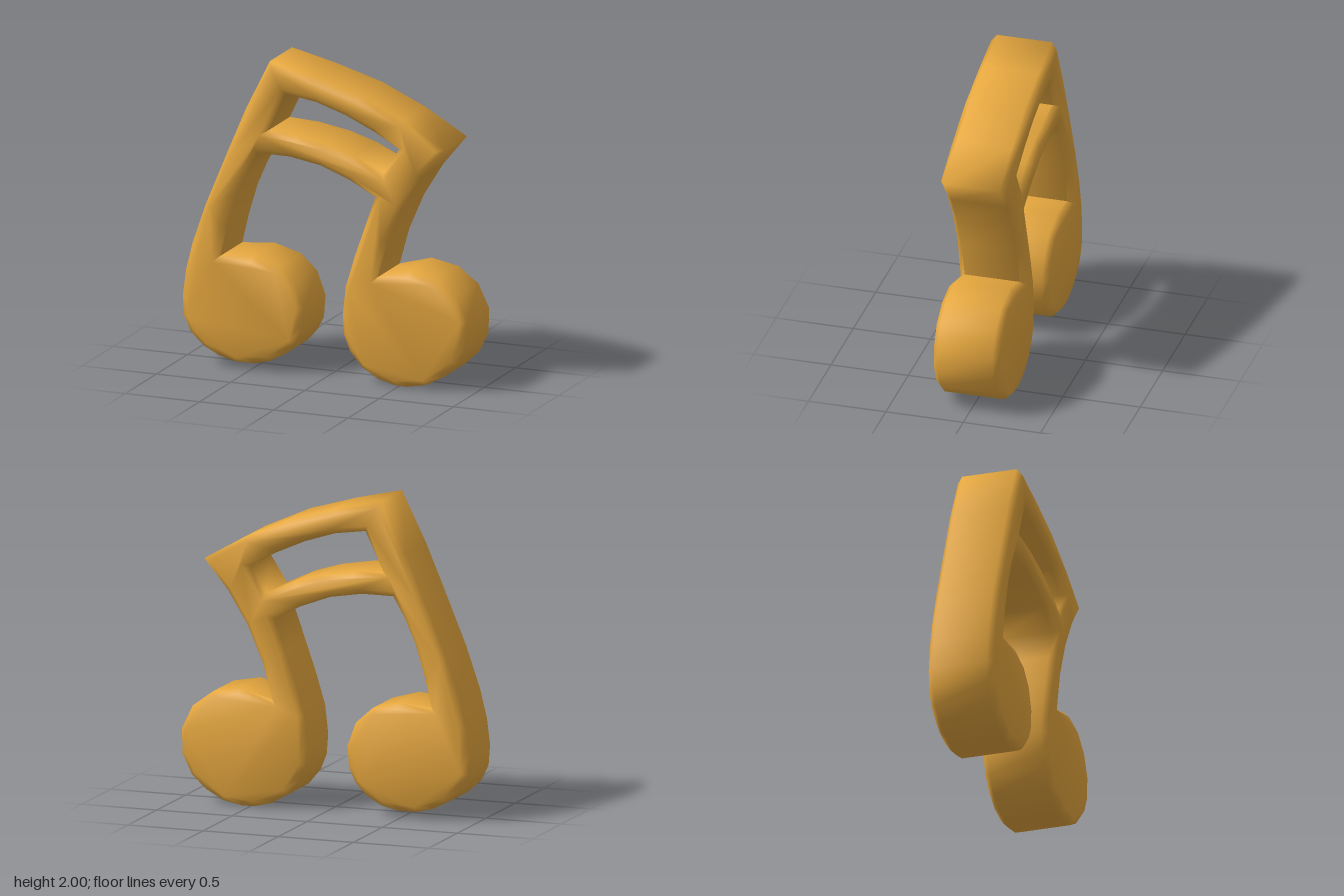
import * as THREE from 'three';
import { toCreasedNormals } from 'three/addons/utils/BufferGeometryUtils.js';

const toPoints = (list) => list.map(([x, y]) => new THREE.Vector2(x, y));

// Each stretch of the outline, clockwise from the top left corner
const beamTop = [[-0.37, 2], [-0.07, 1.93], [0.24, 1.84], [0.53, 1.71], [0.807, 1.55]];
const rightStemOuter = [[0.65, 1.36], [0.52, 1.15], [0.42, 0.92], [0.355, 0.685]];
const rightHead = [
  [0.57, 0.745], [0.75, 0.71], [0.885, 0.61], [0.957, 0.46], [0.952, 0.3], [0.89, 0.175], [0.8, 0.09], [0.68, 0.025],
  [0.55, 0], [0.47, 0.003], [0.36, 0.03], [0.25, 0.095], [0.17, 0.19], [0.13, 0.29], [0.12, 0.42],
];
const rightStemInner = [[0.14, 0.6], [0.2, 0.8], [0.27, 1], [0.34, 1.2]];
const lowerBeamUnderside = [[0.17, 1.29], [-0.03, 1.365], [-0.24, 1.4], [-0.45, 1.4]];
const leftStemInner = [[-0.53, 1.26], [-0.6, 1.1], [-0.66, 0.9], [-0.705, 0.71]];
const leftHead = [
  [-0.485, 0.73], [-0.31, 0.68], [-0.2, 0.58], [-0.145, 0.43], [-0.155, 0.29], [-0.2, 0.2], [-0.27, 0.125],
  [-0.37, 0.07], [-0.48, 0.043], [-0.6, 0.043], [-0.71, 0.07], [-0.81, 0.12], [-0.9, 0.2], [-0.947, 0.3], [-0.957, 0.43],
];
const leftStemOuter = [[-0.935, 0.6], [-0.89, 0.78], [-0.8, 1.04], [-0.65, 1.4], [-0.53, 1.68]];

// Opening between the two beams, counter-clockwise so its walls face inward
const beamGap = [
  [-0.385, 1.55], [-0.19, 1.54], [0.02, 1.505], [0.2, 1.45], [0.395, 1.36],
  [0.5, 1.525], [0.33, 1.62], [0.14, 1.705], [-0.06, 1.77], [-0.265, 1.8],
];

export function createModel() {
  const group = new THREE.Group();
  group.name = 'beamedNotes';

  const shape = new THREE.Shape(toPoints([
    ...beamTop, ...rightStemOuter, ...rightHead, ...rightStemInner,
    ...lowerBeamUnderside, ...leftStemInner, ...leftHead, ...leftStemOuter,
  ]));
  shape.holes.push(new THREE.Path(toPoints(beamGap)));

  // Thick slab with a bevel inside the outline
  const thickness = 0.425;
  const bevel = 0.035;
  const slab = new THREE.ExtrudeGeometry(shape, {
    depth: thickness - 2 * bevel,
    bevelThickness: bevel,
    bevelSize: bevel,
    bevelOffset: -bevel,
    bevelSegments: 1,
  });
  slab.translate(0, 0, bevel - thickness / 2);

  // Soft shading everywhere except the tight notches beside the heads
  const notes = new THREE.Mesh(
    toCreasedNormals(slab, 1.75),
    new THREE.MeshStandardMaterial({ color: 0xe4a63e }),
  );
  notes.name = 'notesWithBeams';
  group.add(notes);
  return group;
}
